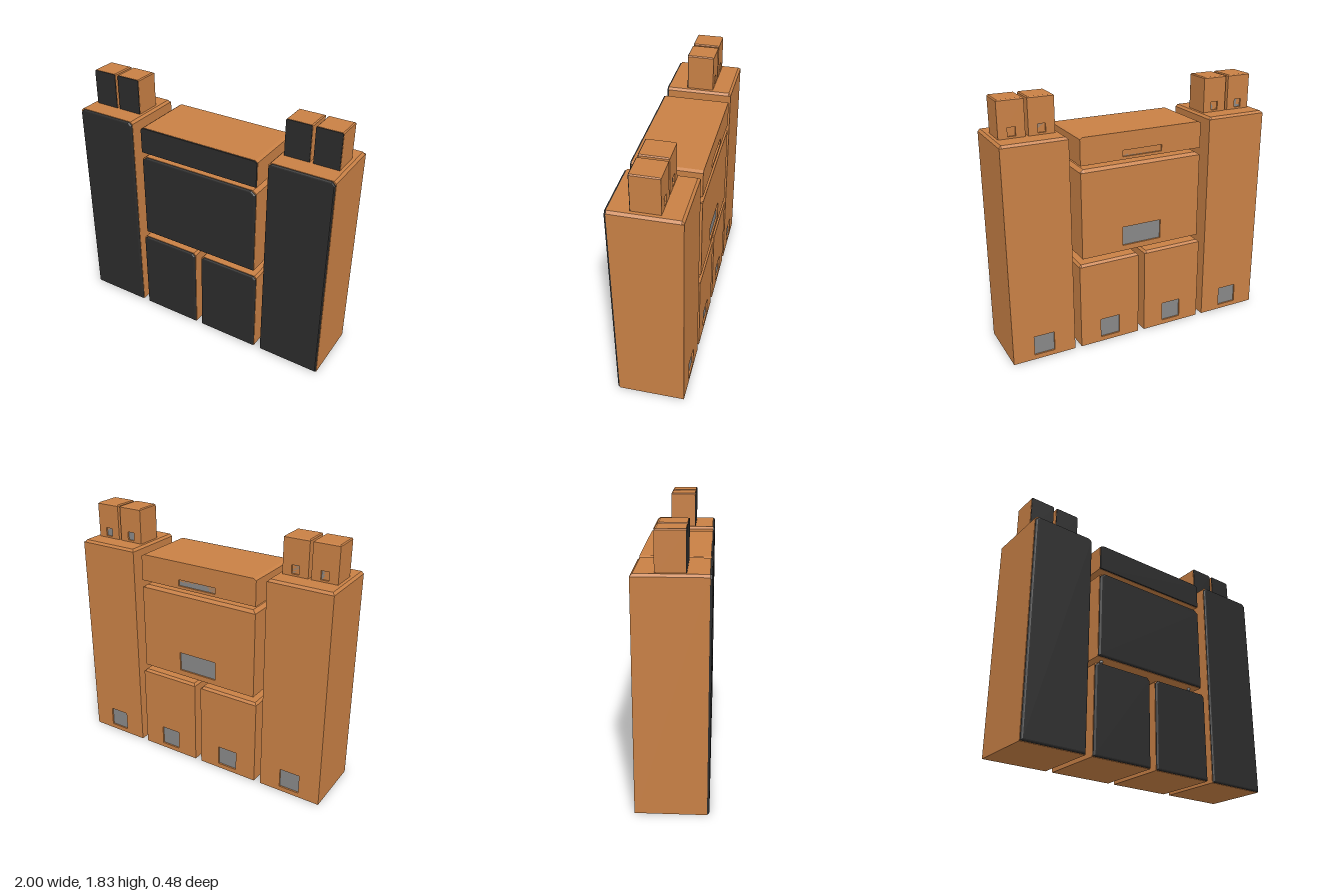
import * as THREE from 'three';

const wood = new THREE.MeshStandardMaterial({ color: 0xc88045, flatShading: true });
const cloth = new THREE.MeshStandardMaterial({ color: 0x2b2b2b, flatShading: true });
const grey = new THREE.MeshStandardMaterial({ color: 0x888888, flatShading: true });
const RECESS = 0.012;

// Front outline: square bottom corners, chamfered top corners
function outline(w, h, cx, cy, inset = 0) {
  const x = w / 2 - inset, y0 = inset, y1 = h - inset;
  return new THREE.Shape([
    [-x, y0], [x, y0], [x, y1 - cy], [x - cx, y1], [-x + cx, y1], [-x, y1 - cy],
  ].map(([a, b]) => new THREE.Vector2(a, b)));
}

function add(group, name, geometry, material, x = 0, y = 0, z = 0) {
  const mesh = new THREE.Mesh(geometry, material);
  mesh.name = name;
  mesh.position.set(x, y, z);
  group.add(mesh);
  return mesh;
}

// A cabinet with a front grille and a recessed terminal plate in its back
function cabinet(o) {
  const { name, x, y, w, h, back, front, grille, cx, cy, backChamfer = cy, bevel, plate } = o;
  const group = new THREE.Group();
  group.name = name;
  group.position.set(x, y, 0);

  // Main body
  const layer = Math.max(RECESS, backChamfer);
  const body = new THREE.ExtrudeGeometry(outline(w, h, cx, cy), {
    depth: front - back - layer, bevelEnabled: false,
  });
  add(group, 'cabinetBody', body, wood, 0, 0, back + layer);

  // Back layer with the terminal opening and a sloping top edge
  const [pw, py, ph] = plate;
  const shape = outline(w, h, cx, cy);
  shape.holes.push(new THREE.Path([
    [-pw / 2, py], [-pw / 2, py + ph], [pw / 2, py + ph], [pw / 2, py],
  ].map(([a, b]) => new THREE.Vector2(a, b))));
  const rear = new THREE.ExtrudeGeometry(shape, { depth: layer, bevelEnabled: false });
  const p = rear.attributes.position;
  for (let i = 0; i < p.count; i++) {
    if (p.getZ(i) < 1e-5) p.setY(i, Math.min(p.getY(i), h - backChamfer));
  }
  rear.computeVertexNormals();
  add(group, 'cabinetBack', rear, wood, 0, 0, back);

  // Terminal plate at the bottom of the recess
  const t = layer - RECESS + 0.002;
  add(group, 'terminalPlate', new THREE.BoxGeometry(pw, ph, t), grey,
    0, py + ph / 2, back + RECESS + t / 2);

  // Front grille, with softened edges on the larger cabinets
  const depth = grille - front;
  const cover = bevel
    ? new THREE.ExtrudeGeometry(outline(w, h, cx, cy, 0.003 + bevel), {
      depth: 0.002, bevelThickness: depth - 0.002, bevelSize: bevel, bevelSegments: 3,
    })
    : new THREE.ExtrudeGeometry(outline(w, h, cx, cy, 0.002), { depth, bevelEnabled: false });
  add(group, 'grille', cover, cloth, 0, 0, front);
  return group;
}

// Small round feet under a unit
function feet(group) {
  for (const x of [-0.395, 0.395]) {
    for (const z of [-0.19, 0.17]) {
      add(group, 'foot', new THREE.CylinderGeometry(0.012, 0.012, 0.016, 16), grey, x, -0.008, z);
    }
  }
}

export function createModel() {
  const model = new THREE.Group();
  model.name = 'speakerSystem';
  const deep = { back: -0.24, front: 0.225, grille: 0.24, cx: 0.016, cy: 0.016, bevel: 0.012 };

  for (const s of [-1, 1]) {
    const side = s > 0 ? 'left' : 'right';
    // Tall tower
    model.add(cabinet({
      ...deep, name: side + 'Tower', x: s * 0.769, y: 0, w: 0.462, h: 1.575,
      plate: [0.15, 0.035, 0.145],
    }));
    // Low cabinet between the towers
    model.add(cabinet({
      ...deep, name: side + 'LowCabinet', x: s * 0.256, y: 0, w: 0.462, h: 0.645,
      plate: [0.15, 0.035, 0.145],
    }));
    // Pair of small speakers on the tower
    for (const d of [-0.102, 0.102]) {
      model.add(cabinet({
        name: side + 'SmallSpeaker', x: s * 0.768 + d, y: 1.573, w: 0.183, h: 0.257,
        back: -0.1, front: 0.085, grille: 0.09, cx: 0.007, cy: 0.007,
        plate: [0.055, 0.015, 0.06],
      }));
    }
  }

  // Wide middle unit
  const middle = cabinet({
    ...deep, name: 'middleUnit', x: 0, y: 0.692, w: 0.926, h: 0.643, cx: 0.028, cy: 0.02,
    plate: [0.3, 0.04, 0.14],
  });
  feet(middle);
  model.add(middle);

  // Shallow top unit
  const top = cabinet({
    ...deep, name: 'topUnit', x: 0, y: 1.367, w: 0.926, h: 0.193, cx: 0.02, cy: 0.012,
    backChamfer: 0, bevel: 0, grille: 0.235, plate: [0.3, 0.02, 0.045],
  });
  feet(top);
  model.add(top);
  return model;
}
